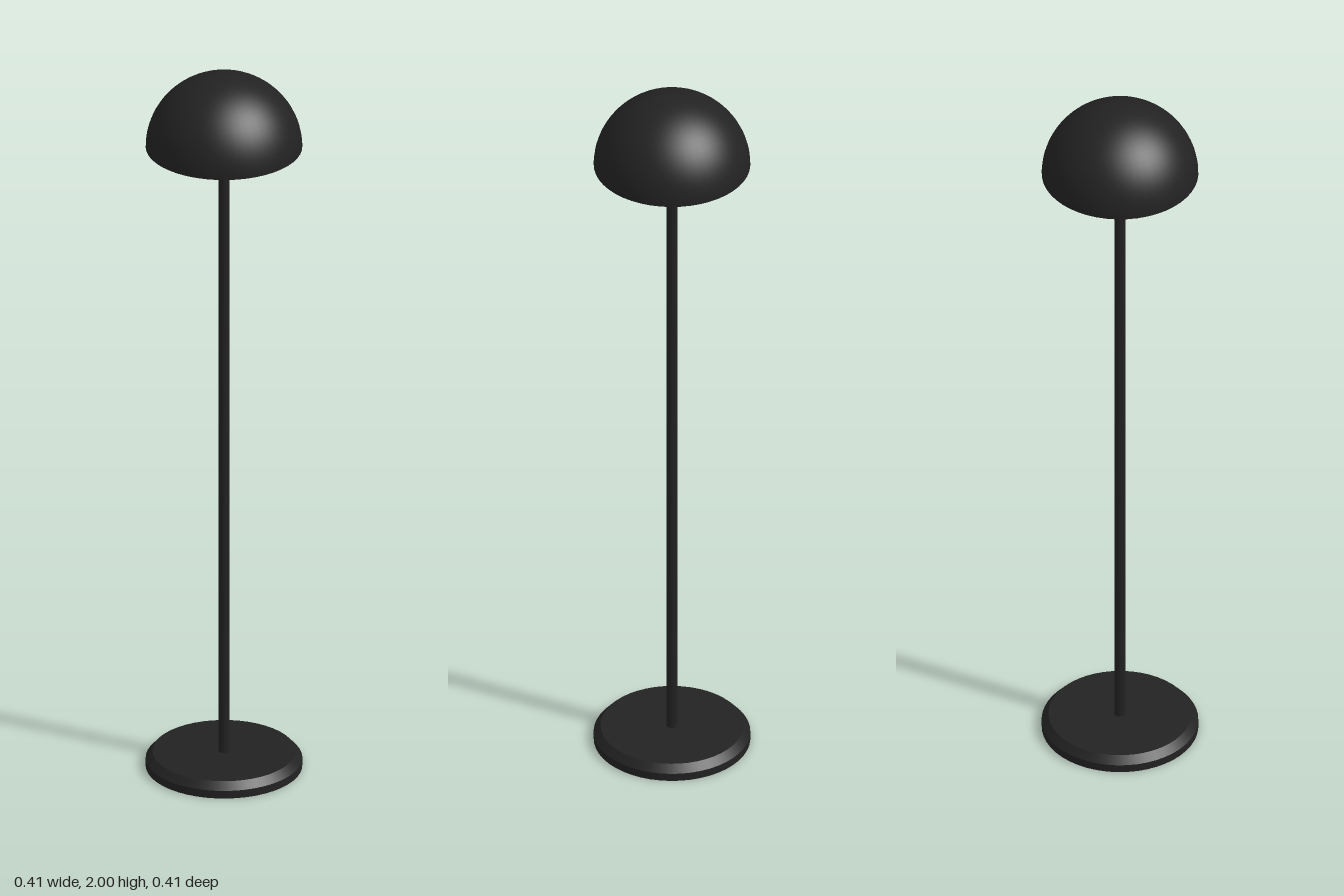
import * as THREE from 'three';

export function createModel() {
  const lamp = new THREE.Group();
  lamp.name = 'floorLamp';

  const black = new THREE.MeshStandardMaterial({ color: 0x222222, side: THREE.DoubleSide });
  black.name = 'matte black';

  const add = (name, geometry, y = 0) => {
    const mesh = new THREE.Mesh(geometry, black);
    mesh.name = name;
    mesh.position.y = y;
    lamp.add(mesh);
    return mesh;
  };
  const cylinder = (top, bottom, y0, y1, sides, open = false) =>
    new THREE.CylinderGeometry(top, bottom, y1 - y0, sides, 1, open).translate(0, (y0 + y1) / 2, 0);

  // Round foot: straight rim, bevelled shoulder and flat faces
  const R = 0.206;
  add('baseRim', cylinder(R, R, 0, 0.022, 48, true));
  add('baseBevel', cylinder(0.188, R, 0.022, 0.042, 48, true));
  add('baseTop', new THREE.CircleGeometry(0.188, 48).rotateX(-Math.PI / 2), 0.042);
  add('baseBottom', new THREE.CircleGeometry(R, 48).rotateX(Math.PI / 2));

  // Slim upright pole
  add('pole', cylinder(0.015, 0.015, 0.04, 1.76, 24));

  // Lamp holder with a round-topped bulb inside the shade
  add('socket', cylinder(0.03, 0.03, 1.75, 1.805, 24));
  const bulb = [[0.027, 1.805], [0.027, 1.825]];
  for (let i = 1; i <= 6; i++) {
    const a = (i / 6) * Math.PI / 2;
    bulb.push([0.027 * Math.cos(a), 1.825 + 0.027 * Math.sin(a)]);
  }
  add('bulb', new THREE.LatheGeometry(bulb.map(([x, y]) => new THREE.Vector2(x, y)), 24));

  // Open hemispherical shade
  const shade = new THREE.SphereGeometry(R, 48, 20, 0, Math.PI * 2, 0, Math.PI / 2);
  shade.scale(1, 0.202 / R, 1);
  add('shade', shade, 1.798);

  return lamp;
}
